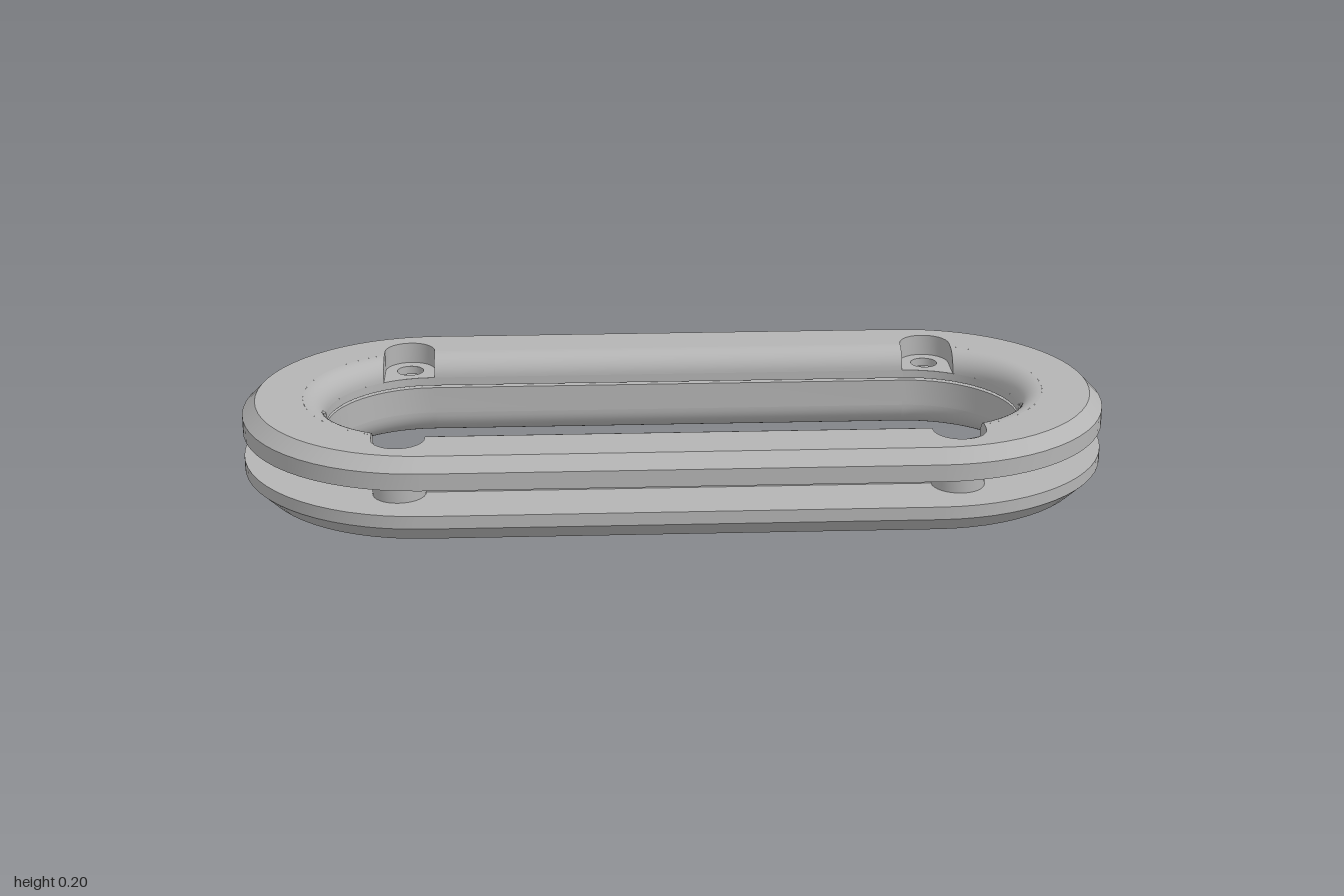
import * as THREE from 'three';
import { mergeGeometries, toCreasedNormals } from 'three/addons/utils/BufferGeometryUtils.js';

const HALF = 0.57;                      // half length of the straight sides
const R_IN = 0.24, R_MID = 0.29, R_OUT = 0.43;
const SX = 0.627, SZ = 0.292, SR = 0.06; // screw position and boss/pocket radius
const Y_FLOOR = 0.15, Y_TOP = 0.2;
const lerp = THREE.MathUtils.lerp;

// Surface from a rule f(u, v) on a grid, facing v x u
function grid(nu, nv, f) {
  const pos = [], idx = [];
  for (let i = 0; i <= nu; i++) for (let j = 0; j <= nv; j++) pos.push(...f(i, j));
  for (let i = 0; i < nu; i++) for (let j = 0; j < nv; j++) {
    const a = i * (nv + 1) + j, c = a + nv + 1;
    idx.push(a, a + 1, c, a + 1, c + 1, c);
  }
  const g = new THREE.BufferGeometry();
  g.setAttribute('position', new THREE.Float32BufferAttribute(pos, 3));
  g.setIndex(idx);
  g.computeVertexNormals();
  return g.toNonIndexed();
}

// Stations round the oval; recess marks the shallow cut in the back
function ovalPath() {
  const path = [];
  for (let i = 0; i <= 32; i++) {
    const a = -Math.PI / 2 + Math.PI * i / 32;
    path.push({ cx: HALF, nx: Math.cos(a), nz: Math.sin(a), recess: 0 });
  }
  for (let i = 0; i <= 32; i++) {
    const a = Math.PI / 2 + Math.PI * i / 32;
    path.push({ cx: -HALF, nx: Math.cos(a), nz: Math.sin(a), recess: 0 });
  }
  for (const [cx, recess] of [[-0.56, 0], [-0.46, 1], [0.46, 1], [0.56, 0], [HALF, 0]])
    path.push({ cx, nx: 0, nz: -1, recess });
  return path;
}
const PATH = ovalPath();

// Sweep a profile of [r, y] points round the oval, smooth along its length
function sweep(profile, depth = 0) {
  return grid(PATH.length - 1, profile.length - 1, (i, j) => {
    const p = PATH[i], [r0, y] = profile[j];
    const r = r0 > 0.35 ? r0 - depth * p.recess : r0;
    return [p.cx + r * p.nx, y, r * p.nz];
  });
}

// Same, with every profile edge kept sharp
function sweepSharp(profile, depth) {
  return profile.slice(1).map((p, i) => sweep([profile[i], p], depth));
}

function oval(r) {
  return PATH.slice(0, 66).map(p => new THREE.Vector2(p.cx + r * p.nx, r * p.nz));
}

const zAt = (x, r) => x <= HALF ? r : Math.sqrt(r * r - (x - HALF) ** 2);

// Outline of one boss or pocket, from the curved end to the straight side
function lobe() {
  const pts = [[SX + SR, zAt(SX + SR, R_MID)]];
  for (let i = 0; i <= 16; i++) {
    const a = Math.PI * i / 16;
    pts.push([SX + SR * Math.cos(a), SZ + SR * Math.sin(a)]);
  }
  pts.push([SX - SR, R_MID]);
  return pts;
}

// Oval outline with a lobe at each of the four screws
function lobedOval() {
  const quarter = [], end = Math.acos((SX + SR - HALF) / R_MID);
  for (let i = 0; i < 16; i++) {
    const a = end * i / 16;
    quarter.push([HALF + R_MID * Math.cos(a), R_MID * Math.sin(a)]);
  }
  quarter.push(...lobe());
  const back = [...quarter].reverse();
  return [
    ...quarter.map(([x, z]) => [x, z]), ...back.map(([x, z]) => [-x, z]).slice(0, -1),
    ...quarter.map(([x, z]) => [-x, -z]), ...back.map(([x, z]) => [x, -z]).slice(0, -1),
  ].map(([x, z]) => new THREE.Vector2(x, z));
}

function circle(x, z, r) {
  return new THREE.Path().absarc(x, z, r, 0, Math.PI * 2, true);
}

function plate(outline, holes, screwRadius) {
  const s = new THREE.Shape(outline);
  holes.forEach(h => s.holes.push(new THREE.Path(h)));
  if (screwRadius) for (const x of [-SX, SX]) for (const z of [-SZ, SZ])
    s.holes.push(circle(x, z, screwRadius));
  return s;
}

function flat(shape, y) {
  return new THREE.ShapeGeometry(shape, 24).rotateX(-Math.PI / 2).translate(0, y, 0);
}

// Quarter round on the inner edge
function fillet(size, yEdge, dir, n = 10) {
  return Array.from({ length: n + 1 }, (_, i) => {
    const a = Math.PI / 2 * i / n;
    return [R_IN + size - size * Math.sin(a), yEdge - dir * size * (1 - Math.cos(a))];
  });
}

export function createModel() {
  const grey = new THREE.MeshStandardMaterial({ color: 0xb4b4b4, side: THREE.DoubleSide });
  grey.name = 'grey';
  const model = new THREE.Group();
  const add = (name, geo, parent = model) => {
    const m = new THREE.Mesh(geo, grey);
    m.name = name;
    parent.add(m);
    return m;
  };
  const group = name => {
    const g = new THREE.Group();
    g.name = name;
    model.add(g);
    return g;
  };

  // Lower ring: flange with a recess in the back, and a raised step with bosses
  const lower = group('lowerRing');
  add('lowerFlange', mergeGeometries([
    ...sweepSharp([[0.3, 0], [0.39, 0], [R_OUT, 0.04], [R_OUT, 0.07], [R_IN, 0.07], [R_IN, 0.06]], 0.085),
    sweep(fillet(0.06, 0, -1).reverse()),
  ]), lower);
  const step = new THREE.ExtrudeGeometry(plate(lobedOval(), [oval(R_IN)], 0.024),
    { depth: 0.054, bevelEnabled: false, curveSegments: 24 });
  step.rotateX(-Math.PI / 2).translate(0, 0.07, 0);
  add('lowerStepWithBosses', toCreasedNormals(step, 0.5), lower);

  // Upper ring: chamfered outside, pockets cut into the rounded inner edge
  const upper = group('upperRing');
  add('upperSides', mergeGeometries([
    ...sweepSharp([[R_OUT, 0.13], [R_OUT, 0.17], [0.4, Y_TOP]]),
    sweep([[R_IN, Y_FLOOR], [R_IN, 0.13]]),
  ]), upper);
  add('upperTop', flat(plate(oval(0.4), [lobedOval()]), Y_TOP), upper);
  const under = flat(plate(oval(R_OUT), [oval(R_IN)], 0.032), -0.13);
  add('upperUnderside', under.rotateX(Math.PI), upper);

  const round = fillet(R_MID - R_IN, Y_TOP, 1), n = round.length - 1;
  const roundEnd = grid(24, n, (i, j) => {
    const [r, y] = round[j], a = Math.acos((SX + SR - HALF) / r) * (i / 12 - 1);
    return [HALF + r * Math.cos(a), y, r * Math.sin(a)];
  });
  const roundSide = grid(1, n, (i, j) => [(SX - SR) * (1 - 2 * i), round[j][1], round[j][0]]);
  for (const turn of [0, Math.PI]) {
    add('roundedInnerEnd', roundEnd, upper).rotation.y = turn;
    add('roundedInnerSide', roundSide, upper).rotation.y = turn;
  }

  // Screw pocket: walls, cheeks under the rounded edge, floor and hole
  const rim = lobe();
  const wall = grid(rim.length - 1, 1, (i, j) => [rim[i][0], lerp(Y_TOP, Y_FLOOR, j), rim[i][1]]);
  const cheek = x => grid(n, 1, (i, j) => {
    const k = x > SX ? n - i : i;
    return [x, lerp(round[k][1], Y_FLOOR, j), zAt(x, round[k][0])];
  });
  const floorEdge = rim.map(([x, z]) => new THREE.Vector2(x, -z));
  for (let i = 0; i <= 8; i++) {
    const x = lerp(SX - SR, SX + SR, i / 8);
    floorEdge.push(new THREE.Vector2(x, -zAt(x, R_IN)));
  }
  const floorShape = new THREE.Shape(floorEdge);
  floorShape.holes.push(circle(SX, -SZ, 0.032));
  const floor = flat(floorShape, Y_FLOOR);
  const hole = new THREE.CylinderGeometry(0.032, 0.032, 0.02, 32, 1, true).translate(SX, 0.14, SZ);
  const walls = mergeGeometries([wall, cheek(SX - SR), cheek(SX + SR)]);
  for (const sx of [-1, 1]) for (const sz of [-1, 1]) {
    const pocket = new THREE.Group();
    pocket.name = 'screwPocket';
    pocket.scale.set(sx, 1, sz);
    upper.add(pocket);
    add('pocketWall', walls, pocket);
    add('pocketFloor', floor, pocket);
    add('screwHole', hole, pocket);
  }
  return model;
}
